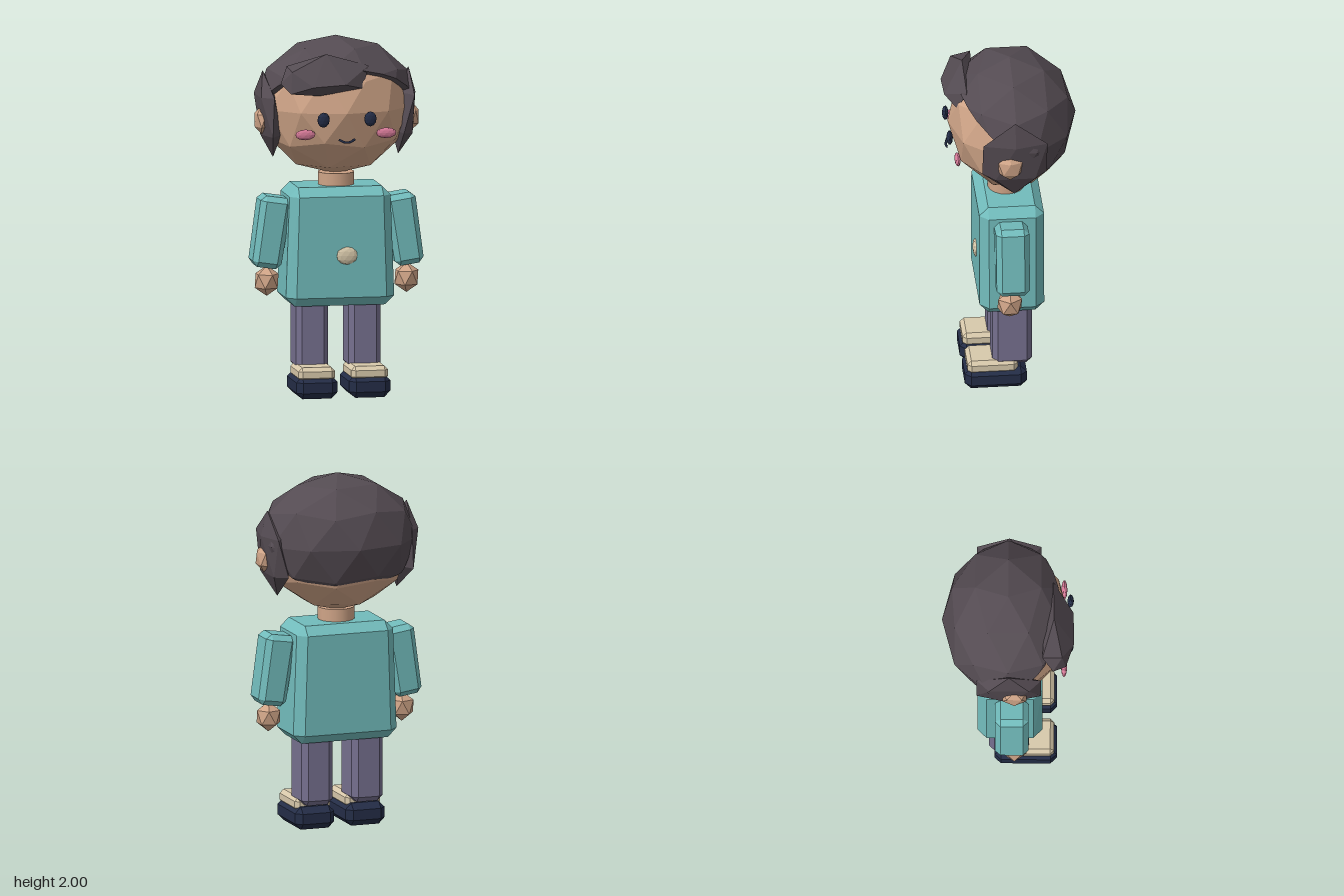
import * as THREE from 'three';
import { ConvexGeometry } from 'three/addons/geometries/ConvexGeometry.js';

const flatColor = (name, color) => {
  const m = new THREE.MeshStandardMaterial({ color });
  m.name = name;
  return m;
};

// Faceted ball with a vertex at each pole
function ball(rx, ry, rz, detail = 0) {
  const g = new THREE.IcosahedronGeometry(1, detail);
  g.rotateZ(-Math.atan(2 / (1 + Math.sqrt(5))));
  g.scale(rx, ry, rz);
  g.computeVertexNormals();
  return g;
}

// Box with chamfered edges and corners; taper widens the bottom and narrows the top
function chamferBox(w, h, d, b, taper = 0) {
  const pts = [];
  for (const x of [-1, 1]) for (const y of [-1, 1]) for (const z of [-1, 1]) {
    for (const [i, j, k] of [[0, b, b], [b, 0, b], [b, b, 0]]) {
      const py = y * (h / 2 - j);
      pts.push(new THREE.Vector3(x * (w / 2 - i) * (1 - taper * py / (h / 2)), py, z * (d / 2 - k)));
    }
  }
  return new ConvexGeometry(pts);
}

// Keeps the part of a solid above the plane y = offset + slope * z and closes the cut
function cutBelow(geo, offset, slope) {
  const p = geo.attributes.position, out = [];
  const centre = new THREE.Vector3(0, offset, 0);
  const height = (v) => v.y - offset - slope * v.z;
  const push = (...vs) => vs.forEach((v) => out.push(v.x, v.y, v.z));
  for (let i = 0; i < p.count; i += 3) {
    const tri = [0, 1, 2].map((k) => new THREE.Vector3().fromBufferAttribute(p, i + k));
    const poly = [];
    let leave = null, enter = null;
    tri.forEach((a, k) => {
      const c = tri[(k + 1) % 3], ha = height(a), hc = height(c);
      if (ha >= 0) poly.push(a);
      if ((ha >= 0) !== (hc >= 0)) {
        const cut = a.clone().lerp(c, ha / (ha - hc));
        poly.push(cut);
        if (ha >= 0) leave = cut; else enter = cut;
      }
    });
    for (let k = 1; k + 1 < poly.length; k++) push(poly[0], poly[k], poly[k + 1]);
    if (leave && enter) push(enter, leave, centre);
  }
  const g = new THREE.BufferGeometry();
  g.setAttribute('position', new THREE.Float32BufferAttribute(out, 3));
  g.computeVertexNormals();
  return g;
}

export function createModel() {
  const model = new THREE.Group();
  model.name = 'figure';
  const skin = flatColor('skin', 0xcfa487);
  const hair = flatColor('hair', 0x544b52);
  const shirt = flatColor('shirt', 0x72bcbc);
  const trousers = flatColor('trousers', 0x76708f);
  const navy = flatColor('navy', 0x242d47);
  const cream = flatColor('cream', 0xd8c9ab);
  const pink = flatColor('pink', 0xd67a98);

  const add = (name, geo, mat, x, y, z, rz = 0) => {
    const m = new THREE.Mesh(geo, mat);
    m.name = name;
    m.position.set(x, y, z);
    m.rotation.z = rz;
    model.add(m);
    return m;
  };

  // Head, neck and body
  add('head', ball(0.42, 0.38, 0.345, 1), skin, 0, 1.605, 0);
  add('neck', new THREE.CylinderGeometry(0.102, 0.102, 0.14, 16), skin, 0, 1.17, 0.02);
  add('torso', chamferBox(0.59, 0.665, 0.36, 0.05, 0.04), shirt, 0, 0.8375, 0.01);
  add('button', ball(0.06, 0.05, 0.018, 1), cream, 0.03, 0.79, 0.19);

  // Hair cap with a slanted hairline, and a swept fringe
  add('hairCap', cutBelow(ball(0.455, 0.37, 0.367, 1), -0.025, 0.82), hair, 0, 1.63, 0);
  const fringe = [
    [-0.355, 1.77, 0.25], [-0.31, 1.86, 0.19], [-0.31, 1.72, 0.32], [-0.3, 1.84, 0.3],
    [-0.1, 1.93, 0.255], [-0.12, 1.86, 0.2], [0.14, 1.86, 0.25], [0.1, 1.74, 0.3],
    [-0.15, 1.705, 0.31], [-0.19, 1.76, 0.365], [-0.01, 1.77, 0.362], [0.07, 1.8, 0.23],
  ].map((v) => new THREE.Vector3(...v));
  add('fringe', new ConvexGeometry(fringe), hair, 0, 0, 0);

  // Mouth
  const smile = new THREE.CatmullRomCurve3([
    [-0.045, 1.463, 0.342], [-0.016, 1.449, 0.352], [0.016, 1.449, 0.352], [0.045, 1.463, 0.342],
  ].map((v) => new THREE.Vector3(...v)));
  add('mouth', new THREE.TubeGeometry(smile, 10, 0.007, 6), navy, 0, 0, 0);

  // Paired parts
  for (const s of [1, -1]) {
    const side = s > 0 ? 'left' : 'right';
    add(side + 'Eye', ball(0.035, 0.042, 0.018, 1), navy, s * 0.132, 1.575, 0.345);
    add(side + 'Cheek', ball(0.058, 0.03, 0.017, 1), pink, s * 0.228, 1.49, 0.31);
    add(side + 'Ear', ball(0.045, 0.08, 0.078), skin, s * 0.422, 1.54, 0.035);
    add(side + 'Sideburn', ball(0.062, 0.245, 0.21), hair, s * 0.382, 1.57, 0.005, s * -0.12);
    add(side + 'Arm', chamferBox(0.17, 0.4, 0.185, 0.03, -0.04), shirt, s * 0.375, 0.915, 0.02, s * 0.15);
    add(side + 'Hand', ball(0.075, 0.085, 0.078), skin, s * 0.394, 0.64, 0.035);
    add(side + 'Leg', chamferBox(0.182, 0.42, 0.22, 0.03), trousers, s * 0.148, 0.35, 0.005);
    add(side + 'ShoeSole', chamferBox(0.232, 0.128, 0.345, 0.035), navy, s * 0.149, 0.064, 0.0975);
    add(side + 'ShoeTop', chamferBox(0.208, 0.08, 0.28, 0.022), cream, s * 0.149, 0.136, 0.115);
  }
  return model;
}
